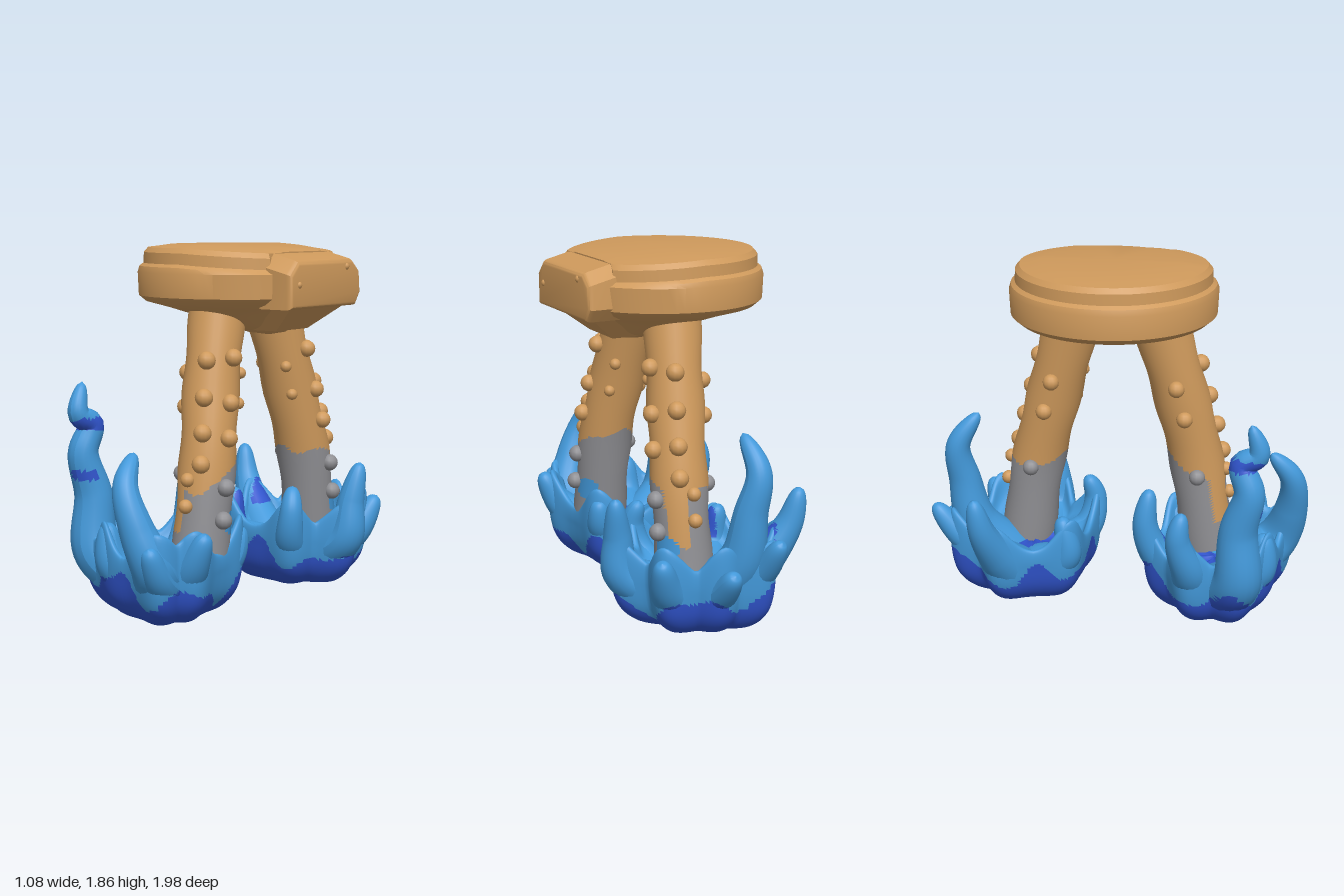
import * as THREE from 'three';
import { toCreasedNormals } from 'three/addons/utils/BufferGeometryUtils.js';

const colour = (name, hex) => {
  const m = new THREE.MeshStandardMaterial({ color: hex });
  m.name = name;
  return m;
};
const tan = colour('tan wood', 0xcf9a5c);
const grey = colour('grey stone', 0x8f8f93);
const lightBlue = colour('light blue flame', 0x4399da);
const darkBlue = colour('dark blue flame', 0x3054cc);
const v = (p) => new THREE.Vector3(...p);

function mesh(name, geometry, material) {
  const m = new THREE.Mesh(geometry, material);
  m.name = name;
  return m;
}

// Move every vertex by a rule
function deform(geometry, rule) {
  const pos = geometry.attributes.position, p = new THREE.Vector3();
  for (let i = 0; i < pos.count; i++) {
    p.fromBufferAttribute(pos, i);
    rule(p);
    pos.setXYZ(i, p.x, p.y, p.z);
  }
  return geometry;
}

// Sort faces into material groups by the position of their centre
function splitFaces(geometry, materialAt) {
  const pos = geometry.attributes.position, idx = geometry.index.array;
  const lists = [[], [], []], c = new THREE.Vector3(), q = new THREE.Vector3();
  for (let i = 0; i < idx.length; i += 3) {
    c.set(0, 0, 0);
    for (let k = 0; k < 3; k++) c.add(q.fromBufferAttribute(pos, idx[i + k]));
    c.divideScalar(3);
    lists[Number(materialAt(c))].push(idx[i], idx[i + 1], idx[i + 2]);
  }
  geometry.setIndex(lists.flat());
  geometry.clearGroups();
  let start = 0;
  lists.forEach((list, i) => {
    if (list.length) geometry.addGroup(start, list.length, i);
    start += list.length;
  });
  return geometry;
}

// Tube whose radius follows a rule along its length
function sweep(curve, segments, sides, radius) {
  const g = new THREE.TubeGeometry(curve, segments, 1, sides);
  const pos = g.attributes.position, p = new THREE.Vector3();
  for (let i = 0; i <= segments; i++) {
    const c = curve.getPointAt(i / segments), r = radius(i / segments);
    for (let j = 0; j <= sides; j++) {
      const k = i * (sides + 1) + j;
      p.fromBufferAttribute(pos, k).sub(c).multiplyScalar(r).add(c);
      pos.setXYZ(k, p.x, p.y, p.z);
    }
  }
  return g;
}

// Round top with a stepped rim, a lopsided coned underside and a side block
function buildTop() {
  const top = new THREE.Group();
  top.name = 'top';
  const profile = [[0, 1.4], [0.1, 1.415], [0.2, 1.455], [0.3, 1.5], [0.4, 1.54], [0.49, 1.57], [0.525, 1.6],
    [0.53, 1.72], [0.52, 1.75], [0.5, 1.765], [0.497, 1.82], [0.475, 1.845], [0.43, 1.85], [0.36, 1.86], [0, 1.86]];
  const disc = new THREE.LatheGeometry(profile.map(([r, y]) => new THREE.Vector2(r, y)), 80);
  deform(disc, (p) => {
    // The upper step is cut straight beside the block
    if (p.y > 1.76 && Math.abs(p.z) < 0.28) p.x = Math.min(p.x, 0.39);
    if (p.y < 1.57) p.x += (1.57 - p.y) * 1.1;
    if (p.y > 1.74) p.y -= Math.max(0, p.x) * 0.06;
    p.x -= 0.01;
    p.z -= 0.035;
  });
  top.add(mesh('disc', toCreasedNormals(disc, 0.5), tan));

  // Block with a sloped top and a narrowing base that runs into the underside
  const outline = [[-0.25, 1.57], [0.3, 1.57], [0.335, 1.62], [0.325, 1.73], [0.27, 1.775],
    [-0.2, 1.775], [-0.255, 1.72]];
  const block = new THREE.ExtrudeGeometry(
    new THREE.Shape(outline.map(([x, y]) => new THREE.Vector2(x, y))),
    { depth: 0.15, bevelThickness: 0.03, bevelSize: 0.02, bevelSegments: 4 });
  block.rotateY(Math.PI / 2).translate(0.35, 0, 0);
  deform(block, (p) => { if (p.y > 1.7) p.y += (0.48 - p.x) * 0.25; });
  top.add(mesh('sideBlock', toCreasedNormals(block, 0.6), tan));
  const base = new THREE.BoxGeometry(0.3, 0.14, 0.5).translate(0.35, 1.5, -0.035);
  deform(base, (p) => {
    if (p.y < 1.5) p.set(p.x > 0.3 ? 0.32 : 0.18, 1.43, -0.035 + (p.z + 0.035) * 0.55);
  });
  top.add(mesh('blockBase', toCreasedNormals(base, 0.3), tan));
  for (const [y, z] of [[1.75, -0.22], [1.67, 0.2]]) {
    const knob = mesh('blockKnob', new THREE.SphereGeometry(0.02, 10, 8), tan);
    knob.position.set(0.52, y, z);
    top.add(knob);
  }
  return top;
}

// Leaning studded leg; out is +1 for the front leg and -1 for the back one
function buildLeg(name, points, out, patch, slope) {
  const leg = new THREE.Group();
  leg.name = name;
  const curve = new THREE.CatmullRomCurve3(points.map(v));
  const centreAt = (y) => {
    let lo = 0, hi = 1;
    for (let i = 0; i < 24; i++) {
      const m = (lo + hi) / 2;
      if (curve.getPoint(m).y > y) lo = m; else hi = m;
    }
    return curve.getPoint(lo);
  };
  // Tan above, grey below, a tan strip down the outer face and a blue patch on the side
  const materialAt = (p) => {
    const c = centreAt(p.y);
    const side = p.x - c.x, away = (p.z - c.z) * out;
    if (side > 0 && Math.hypot(away - patch[0], p.y - patch[1]) < 0.06) return 2;
    if (p.y > 0.45 && away > 0.07 && side * out < -0.02) return 0;
    return p.y < 0.74 - away * slope + 0.02 * Math.sin(p.x * 30) ? 1 : 0;
  };
  const shaft = sweep(curve, 90, 32, (t) => 0.142 + 0.005 * Math.sin(t * 22));
  leg.add(mesh('shaft', splitFaces(shaft, materialAt), [tan, grey, lightBlue]));

  // Columns of studs: angle from the outward direction towards +x, size, then heights
  const columns = [[0.45, 0.046, [1.28, 1.1, 0.93, 0.78]], [1.4, 0.045, [1.29, 1.07, 0.9, 0.66, 0.5]],
    [0, 0.036, [0.7, 0.57]], [-1.5, 0.043, [1.2, 1.03, 0.7]], [2.5, 0.03, [1.2, 1.05]]];
  for (const [a, size, heights] of columns) for (const y of heights) {
    const dir = new THREE.Vector3(Math.sin(a), 0.1, Math.cos(a) * out).normalize();
    const stony = y < 0.72 && Math.abs(a) > 0.5;
    const stud = mesh('stud', new THREE.SphereGeometry(size, 12, 8), stony ? grey : tan);
    stud.position.copy(centreAt(y)).addScaledVector(dir, 0.15);
    leg.add(stud);
  }
  return leg;
}

// Star-shaped bowl that swells outwards and upwards into curling tongues
function buildFlame(name, cx, cz, tongues) {
  const flame = new THREE.Group();
  flame.name = name;
  const isLow = (p) => {
    const a = Math.atan2(p.z - cz, p.x - cx);
    return p.y < 0.19 - 0.05 * Math.max(0, Math.cos(a)) + 0.04 * Math.abs(Math.sin(a))
      + 0.05 * Math.sin(a * 5 + cx * 9) + 0.03 * Math.sin(a * 9 + 1);
  };
  const lobes = tongues.map(({ path }) => {
    const x = path[1][0] - cx, z = path[1][2] - cz;
    return { angle: Math.atan2(z, x), reach: Math.hypot(x, z) + 0.06 };
  });
  const gapRadius = 0.33;
  const profile = new THREE.SplineCurve([[0, 0.005], [0.5, 0.015], [0.75, 0.05], [0.93, 0.14], [1, 0.28],
    [0.99, 0.4], [0.9, 0.4], [0.78, 0.32], [0.4, 0.28], [0, 0.27]].map((p) => new THREE.Vector2(...p)));
  const bowl = new THREE.LatheGeometry(profile.getPoints(70), 120);
  deform(bowl, (p) => {
    const a = Math.atan2(p.z, p.x);
    let radius = gapRadius, swell = 0;
    for (const { angle, reach } of lobes) {
      const d = Math.atan2(Math.sin(a - angle), Math.cos(a - angle));
      const bump = Math.exp(-((d / 0.3) ** 2));
      radius = Math.max(radius, gapRadius + (reach - gapRadius) * bump);
      swell = Math.max(swell, bump);
    }
    p.x = p.x * radius + cx;
    p.z = p.z * radius + cz;
    if (p.y > 0.25) p.y += (p.y - 0.25) * (swell - 0.4);
    p.y = Math.max(0, p.y);
  });
  bowl.computeVertexNormals();
  const inside = (p) => p.y > 0.25 && p.x < cx + 0.06 && Math.hypot(p.x - cx, p.z - cz) < 0.24;
  flame.add(mesh('bowl', splitFaces(bowl, (p) => isLow(p) || inside(p)), [lightBlue, darkBlue]));

  for (const { r, path, dark } of tongues) {
    const curve = new THREE.CatmullRomCurve3(path.map(v));
    const g = sweep(curve, 60, 20, (t) =>
      Math.max(0.001, (r * (1 - t) ** 1.2 + 0.052 * t) * Math.sqrt(1 - t ** 12)));
    deform(g, (p) => { p.y = Math.max(0.03, p.y); });
    g.computeVertexNormals();
    flame.add(mesh('tongue', splitFaces(g, (p) => isLow(p) || (dark ? dark(p) : false)), [lightBlue, darkBlue]));
  }
  return flame;
}

export function createModel() {
  const model = new THREE.Group();
  model.name = 'flamingStool';
  model.add(buildTop());
  model.add(buildLeg('frontLeg', [[0.02, 1.56, 0.19], [0.06, 1.15, 0.3], [0.1, 0.8, 0.38], [0.11, 0.28, 0.46]],
    1, [-0.06, 0.49], 0.6));
  model.add(buildLeg('backLeg', [[0.03, 1.56, -0.25], [0.07, 1.1, -0.37], [0.1, 0.7, -0.47], [0.1, 0.28, -0.53]],
    -1, [0.06, 0.44], 0.15));

  model.add(buildFlame('frontFlame', -0.07, 0.52, [
    { r: 0.15, path: [[-0.25, 0.18, 0.58], [-0.4, 0.32, 0.66], [-0.42, 0.6, 0.66], [-0.44, 0.82, 0.71],
      [-0.42, 0.96, 0.67], [-0.43, 1.02, 0.75], [-0.44, 1.18, 0.71]],
    dark: (p) => (p.y > 0.94 && p.y < 1) || (p.z > 0.7 && p.x > -0.46 && p.y > 0.69 && p.y < 0.74) },
    { r: 0.15, path: [[0.03, 0.18, 0.65], [0.13, 0.32, 0.83], [0.08, 0.52, 0.9], [0.01, 0.72, 0.9], [-0.03, 0.87, 0.79]] },
    { r: 0.12, path: [[0.1, 0.18, 0.68], [0.17, 0.28, 0.85], [0.19, 0.45, 0.95]] },
    { r: 0.13, path: [[0.1, 0.18, 0.61], [0.25, 0.32, 0.69], [0.35, 0.5, 0.71]] },
    { r: 0.12, path: [[-0.1, 0.18, 0.36], [-0.18, 0.34, 0.21], [-0.21, 0.5, 0.16], [-0.2, 0.7, 0.18]],
      dark: (p) => p.y > 0.38 && p.x > -0.195 },
    { r: 0.13, path: [[-0.22, 0.18, 0.43], [-0.4, 0.35, 0.41], [-0.47, 0.55, 0.36], [-0.47, 0.7, 0.38]] },
    { r: 0.12, path: [[0.08, 0.18, 0.4], [0.18, 0.3, 0.29], [0.21, 0.45, 0.25]] },
    { r: 0.14, path: [[-0.14, 0.18, 0.64], [-0.2, 0.3, 0.76], [-0.22, 0.5, 0.78]] },
  ]));

  model.add(buildFlame('backFlame', 0, -0.5, [
    { r: 0.15, path: [[0, 0.18, -0.62], [-0.08, 0.4, -0.78], [-0.1, 0.65, -0.83], [-0.13, 0.85, -0.85], [-0.1, 1.03, -0.74]] },
    { r: 0.12, path: [[-0.1, 0.18, -0.62], [-0.17, 0.35, -0.84], [-0.19, 0.53, -0.98]] },
    { r: 0.12, path: [[0.05, 0.18, -0.64], [0.05, 0.26, -0.82], [0.06, 0.4, -0.97]] },
    { r: 0.14, path: [[-0.2, 0.18, -0.55], [-0.33, 0.33, -0.61], [-0.43, 0.5, -0.66], [-0.47, 0.69, -0.69]],
      dark: (p) => p.y > 0.38 && p.x + 0.42 * p.y > -0.14 },
    { r: 0.14, path: [[0.16, 0.18, -0.61], [0.29, 0.28, -0.71], [0.37, 0.46, -0.8]] },
    { r: 0.14, path: [[0.2, 0.18, -0.46], [0.4, 0.3, -0.43], [0.43, 0.5, -0.44], [0.46, 0.7, -0.48]] },
    { r: 0.11, path: [[0.12, 0.18, -0.36], [0.19, 0.3, -0.21], [0.22, 0.45, -0.18], [0.2, 0.58, -0.22]] },
    { r: 0.12, path: [[-0.12, 0.18, -0.41], [-0.21, 0.3, -0.26], [-0.23, 0.52, -0.28]],
      dark: (p) => p.y > 0.35 && p.x > -0.2 },
  ]));
  return model;
}
